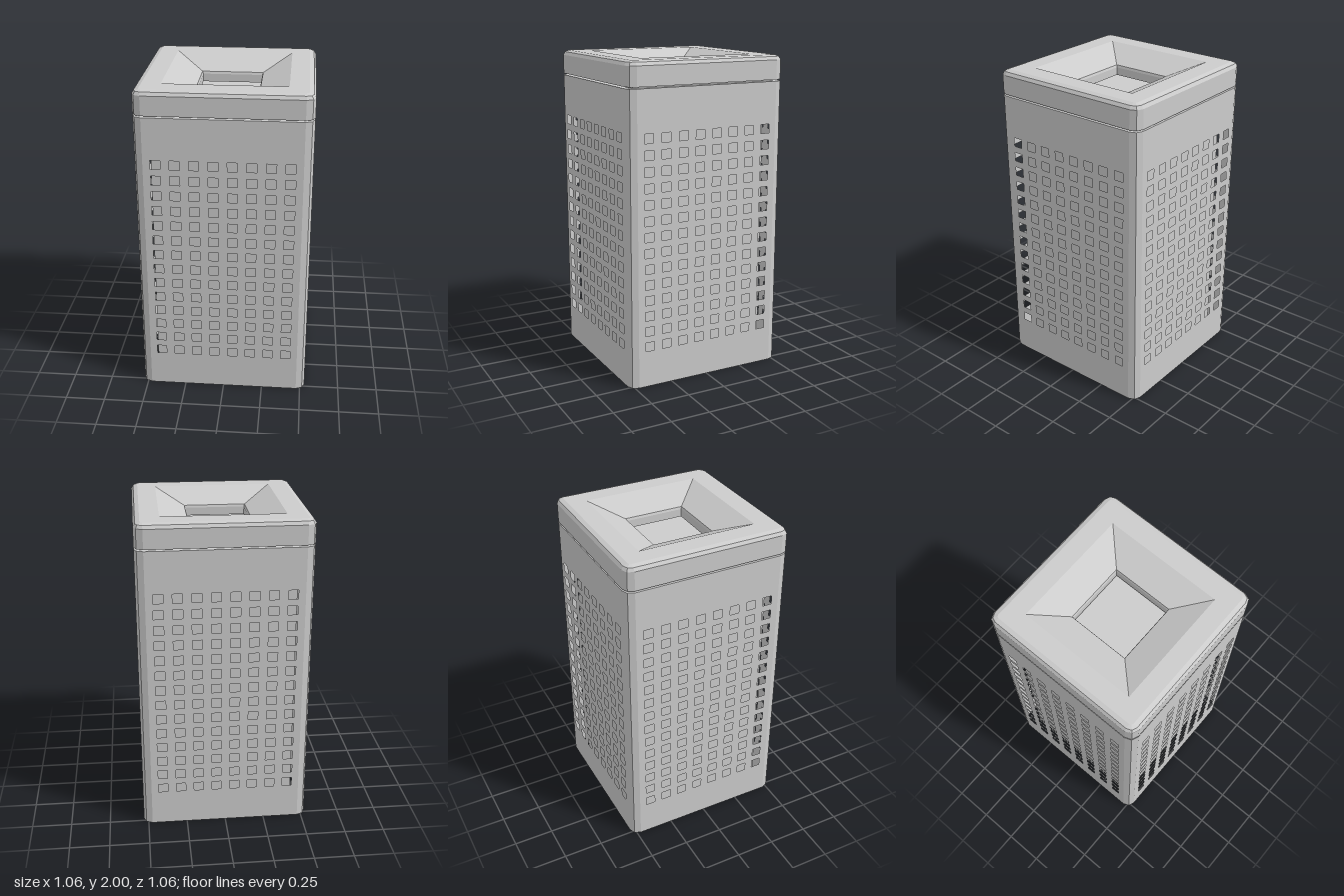
import * as THREE from 'three';

const HALF = 0.53, RADIUS = 0.055, FLAT = HALF - RADIUS, BODY_TOP = 1.84;

// Square section with two-segment rounded corners
function ring([half, r, y]) {
  const pts = [];
  for (let c = 0; c < 4; c++) {
    const mid = Math.PI / 4 + c * Math.PI / 2;
    const cx = Math.sign(Math.cos(mid)) * (half - r);
    const cz = Math.sign(Math.sin(mid)) * (half - r);
    for (let k = -1; k <= 1; k++) {
      const a = mid + k * Math.PI / 4;
      pts.push([cx + r * Math.cos(a), y, cz + r * Math.sin(a)]);
    }
  }
  return pts;
}

// Skin consecutive sections [half width, corner radius, height]
function loft(sections) {
  const rings = sections.map(ring), pos = [];
  for (let j = 0; j < rings.length - 1; j++) {
    const lo = rings[j], hi = rings[j + 1];
    for (let i = 0; i < lo.length; i++) {
      const n = (i + 1) % lo.length;
      pos.push(...lo[i], ...hi[i], ...lo[n], ...lo[n], ...hi[i], ...hi[n]);
    }
  }
  const geo = new THREE.BufferGeometry();
  geo.setAttribute('position', new THREE.Float32BufferAttribute(pos, 3));
  geo.computeVertexNormals();
  return geo;
}

// Flat side panel with a grid of rectangular perforations
function panelGeometry() {
  const rect = (Type, x0, y0, x1, y1) => new Type([
    new THREE.Vector2(x0, y0), new THREE.Vector2(x1, y0),
    new THREE.Vector2(x1, y1), new THREE.Vector2(x0, y1),
  ]);
  const shape = rect(THREE.Shape, -FLAT, 0, FLAT, BODY_TOP);
  for (let row = 0; row < 14; row++) {
    for (let col = 0; col < 8; col++) {
      const x = -0.4 + col * 0.8 / 7, y = 0.26 + row * 1.29 / 13;
      shape.holes.push(rect(THREE.Path, x - 0.03, y - 0.028, x + 0.03, y + 0.028));
    }
  }
  return new THREE.ShapeGeometry(shape);
}

export function createModel() {
  const model = new THREE.Group();
  model.name = 'litterBin';
  const material = new THREE.MeshStandardMaterial({
    color: 0xcccccc, flatShading: true, side: THREE.DoubleSide,
  });
  const add = (parent, name, geo, x = 0, y = 0, z = 0) => {
    const mesh = new THREE.Mesh(geo, material);
    mesh.name = name;
    mesh.position.set(x, y, z);
    parent.add(mesh);
    return mesh;
  };

  // Perforated shell: four panels joined by rounded corners
  const panel = panelGeometry();
  const corner = new THREE.CylinderGeometry(RADIUS, RADIUS, BODY_TOP, 2, 1, true, 0, Math.PI / 2);
  for (let i = 0; i < 4; i++) {
    const side = new THREE.Group();
    side.name = 'shellSide';
    side.rotation.y = i * Math.PI / 2;
    add(side, 'perforatedPanel', panel, 0, 0, HALF);
    add(side, 'shellCorner', corner, FLAT, BODY_TOP / 2, FLAT);
    model.add(side);
  }

  // Shell rim and the recessed collar that carries the lid
  add(model, 'collar', loft([
    [HALF, RADIUS, BODY_TOP], [0.49, 0.03, BODY_TOP], [0.49, 0.03, 1.851],
  ]));

  // Inner container
  add(model, 'liner', new THREE.BoxGeometry(0.88, 1.83, 0.88), 0, 0.915, 0);

  // Lid: rounded outer edge, sloping funnel and square throat
  add(model, 'lid', loft([
    [0.19, 0, 1.85], [HALF, RADIUS, 1.85], [HALF, RADIUS, 1.97],
    [0.517, 0.042, 1.99], [0.49, 0.015, 2], [0.375, 0, 2],
    [0.195, 0, 1.915], [0.19, 0, 1.9], [0.19, 0, 1.85],
  ]));

  return model;
}
